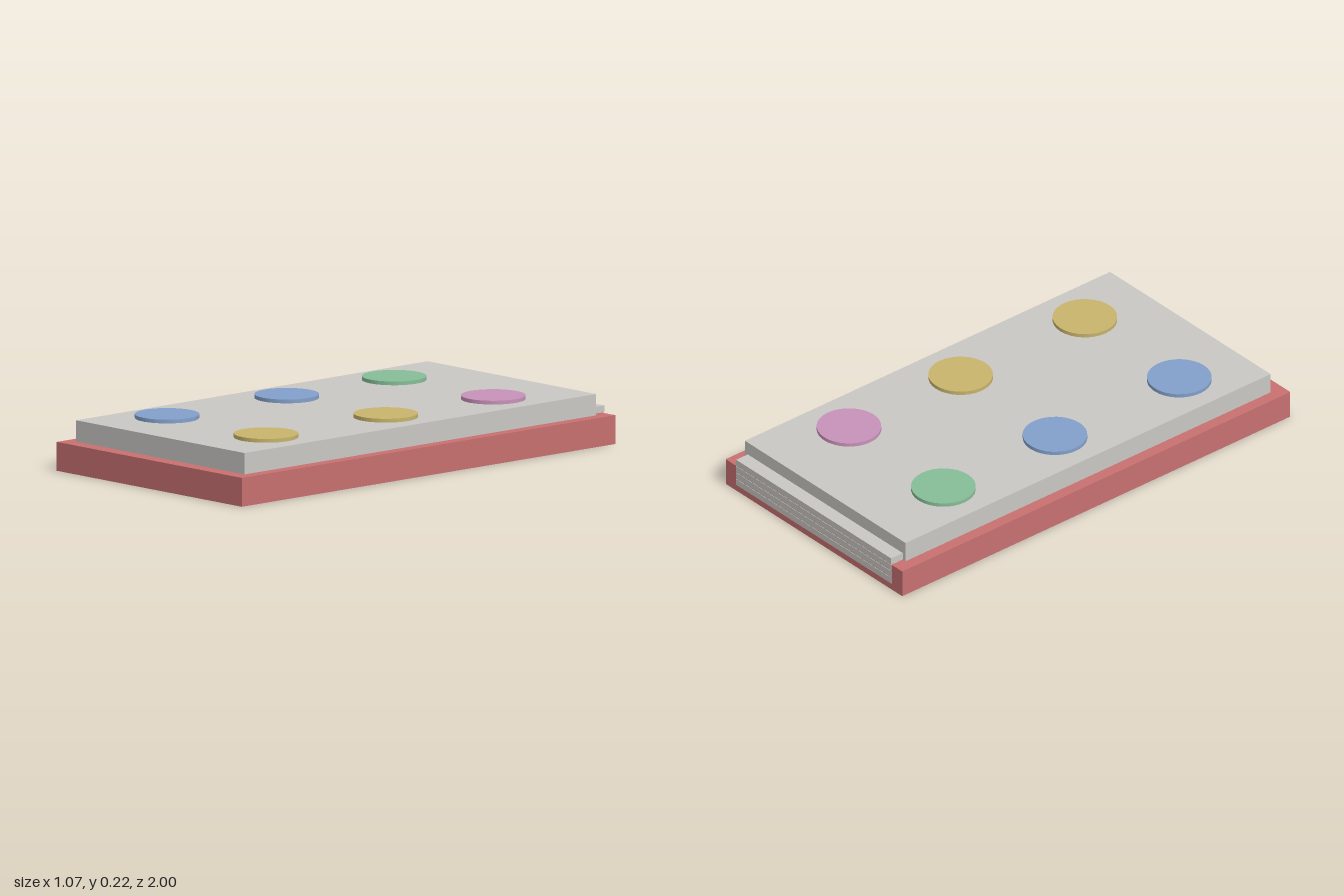
import * as THREE from 'three';

const material = (name, color) => new THREE.MeshStandardMaterial({ name, color });

export function createModel() {
  const group = new THREE.Group();
  group.name = 'buttonPanel';
  const red = material('red', 0xc87070);
  const grey = material('grey', 0xc9c7c3);
  const blue = material('blue', 0x82a0ca);
  const yellow = material('yellow', 0xc8b46c);
  const green = material('green', 0x86be98);
  const pink = material('pink', 0xc892b9);

  const add = (name, geometry, mat, x, y, z) => {
    const mesh = new THREE.Mesh(geometry, mat);
    mesh.name = name;
    mesh.position.set(x, y, z);
    group.add(mesh);
  };
  // Box given by its width and its y and z ranges, centred on x
  const box = (name, mat, w, y0, y1, z0, z1) =>
    add(name, new THREE.BoxGeometry(w, y1 - y0, z1 - z0), mat, 0, (y0 + y1) / 2, (z0 + z1) / 2);

  // Tray and raised face plate
  box('base', red, 1.066, 0, 0.115, -0.998, 1);
  box('facePlate', grey, 0.97, 0.115, 0.2, -0.94, 0.94);

  // Stacked slats set into the back edge, separated by narrow gaps
  for (let i = 0; i < 4; i++) {
    const top = 0.145 - i * 0.03;
    box('backSlat', grey, 0.936, top - 0.027, top, -1, -0.94);
  }
  // Filler under the top slat, where it rests on the base
  box('slatSupport', red, 0.93, 0.11, 0.12, -0.998, -0.94);

  // Round buttons in two columns
  const disc = new THREE.CylinderGeometry(0.127, 0.127, 0.016, 32);
  const rows = [
    [-0.575, green, pink],
    [0, blue, yellow],
    [0.64, blue, yellow],
  ];
  for (const [z, rightMat, leftMat] of rows) {
    add('rightButton', disc, rightMat, -0.285, 0.207, z);
    add('leftButton', disc, leftMat, 0.285, 0.207, z);
  }
  return group;
}
